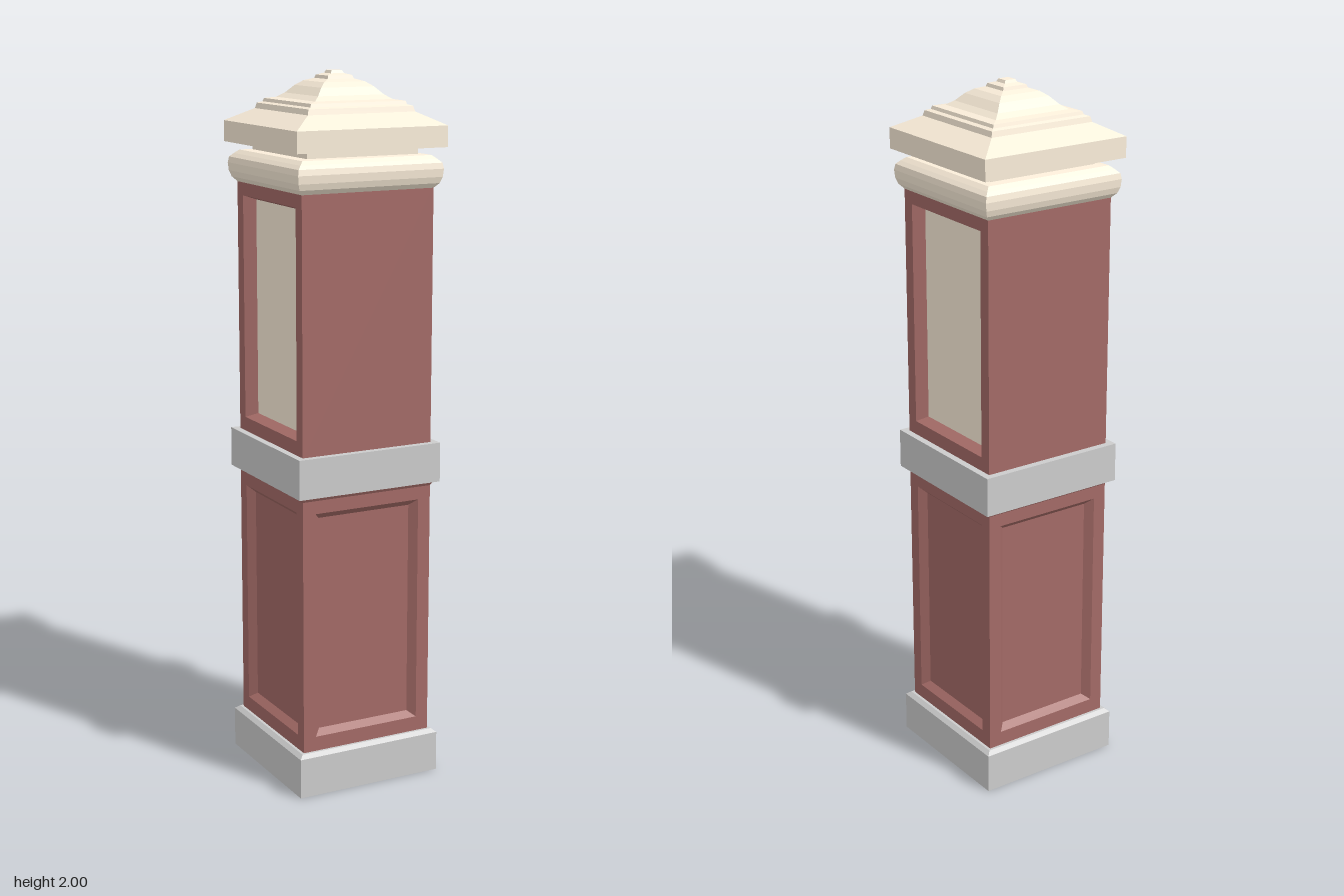
import * as THREE from 'three';

const material = (color) => new THREE.MeshStandardMaterial({ color, flatShading: true });
const brick = material(0xa36a66);
const cream = material(0xfbeeda);
const stone = material(0xcccccc);

// Square-plan moulding from a [half width, height] profile, listed bottom to top
function squareTurned(name, profile, mat) {
  const points = profile.map(([h, y]) => new THREE.Vector2(h * Math.SQRT2, y));
  const geometry = new THREE.LatheGeometry(points, 4).rotateY(Math.PI / 4).toNonIndexed();
  geometry.computeVertexNormals();
  const mesh = new THREE.Mesh(geometry, mat);
  mesh.name = name;
  return mesh;
}

// Surface facing +z stepping through nested rectangles [half width, bottom, top, z];
// "filled" closes the innermost one
function nestedPanel(name, rects, filled, mat) {
  const corners = rects.map(([w, b, t, z]) => [[-w, b, z], [w, b, z], [w, t, z], [-w, t, z]]);
  const positions = [];
  const quad = (a, b, c, d) => positions.push(...a, ...b, ...c, ...a, ...c, ...d);
  for (let i = 0; i + 1 < corners.length; i++) {
    for (let k = 0; k < 4; k++) {
      const n = (k + 1) % 4;
      quad(corners[i][k], corners[i][n], corners[i + 1][n], corners[i + 1][k]);
    }
  }
  if (filled) quad(...corners[corners.length - 1]);
  const geometry = new THREE.BufferGeometry();
  geometry.setAttribute('position', new THREE.Float32BufferAttribute(positions, 3));
  geometry.computeVertexNormals();
  const mesh = new THREE.Mesh(geometry, mat);
  mesh.name = name;
  return mesh;
}

export function createModel() {
  const model = new THREE.Group();
  model.name = 'pillar';

  // Stone plinth and middle band, both with a small chamfer
  model.add(squareTurned('plinth',
    [[0, 0], [0.22, 0], [0.22, 0.115], [0.208, 0.125], [0, 0.125]], stone));
  model.add(squareTurned('middleBand',
    [[0, 0.868], [0.22, 0.868], [0.22, 0.98], [0, 0.98]], stone));
  model.add(squareTurned('bandMoulding',
    [[0.2, 0.855], [0.208, 0.868], [0, 0.868]], brick));

  // Four sides of the shaft: sunk panels below, sunk cream fields on the two x sides above
  for (let i = 0; i < 4; i++) {
    const side = new THREE.Group();
    side.name = 'shaftSide';
    side.rotation.y = i * Math.PI / 2;

    side.add(nestedPanel('lowerPanel', [
      [0.2, 0.12, 0.87, 0.2],
      [0.162, 0.167, 0.818, 0.2],
      [0.142, 0.183, 0.8, 0.18],
    ], true, brick));

    const outer = [0.2, 0.975, 1.695, 0.2];
    if (i % 2 === 1) {
      const floor = [0.152, 1.03, 1.642, 0.165];
      side.add(nestedPanel('upperFrame', [outer, [0.164, 1.02, 1.654, 0.2], floor], false, brick));
      side.add(nestedPanel('upperField', [floor], true, cream));
    } else {
      side.add(nestedPanel('upperWall', [outer], true, brick));
    }
    model.add(side);
  }

  // Cornice with a rounded lower moulding and a recessed neck
  model.add(squareTurned('cornice', [
    [0, 1.69], [0.2, 1.69], [0.212, 1.703], [0.218, 1.72], [0.22, 1.742],
    [0.217, 1.758], [0.207, 1.768], [0.195, 1.778], [0.168, 1.78], [0.168, 1.8],
  ], cream));

  // Overhanging slab and stepped, curved pyramid roof
  model.add(squareTurned('roof', [
    [0, 1.8], [0.227, 1.8], [0.227, 1.858], [0.162, 1.893], [0.158, 1.908],
    [0.146, 1.912], [0.143, 1.921], [0.118, 1.925], [0.1, 1.937], [0.08, 1.958],
    [0.062, 1.971], [0.04, 1.978], [0.037, 1.987], [0.02, 1.992], [0.016, 2], [0, 2],
  ], cream));

  return model;
}
